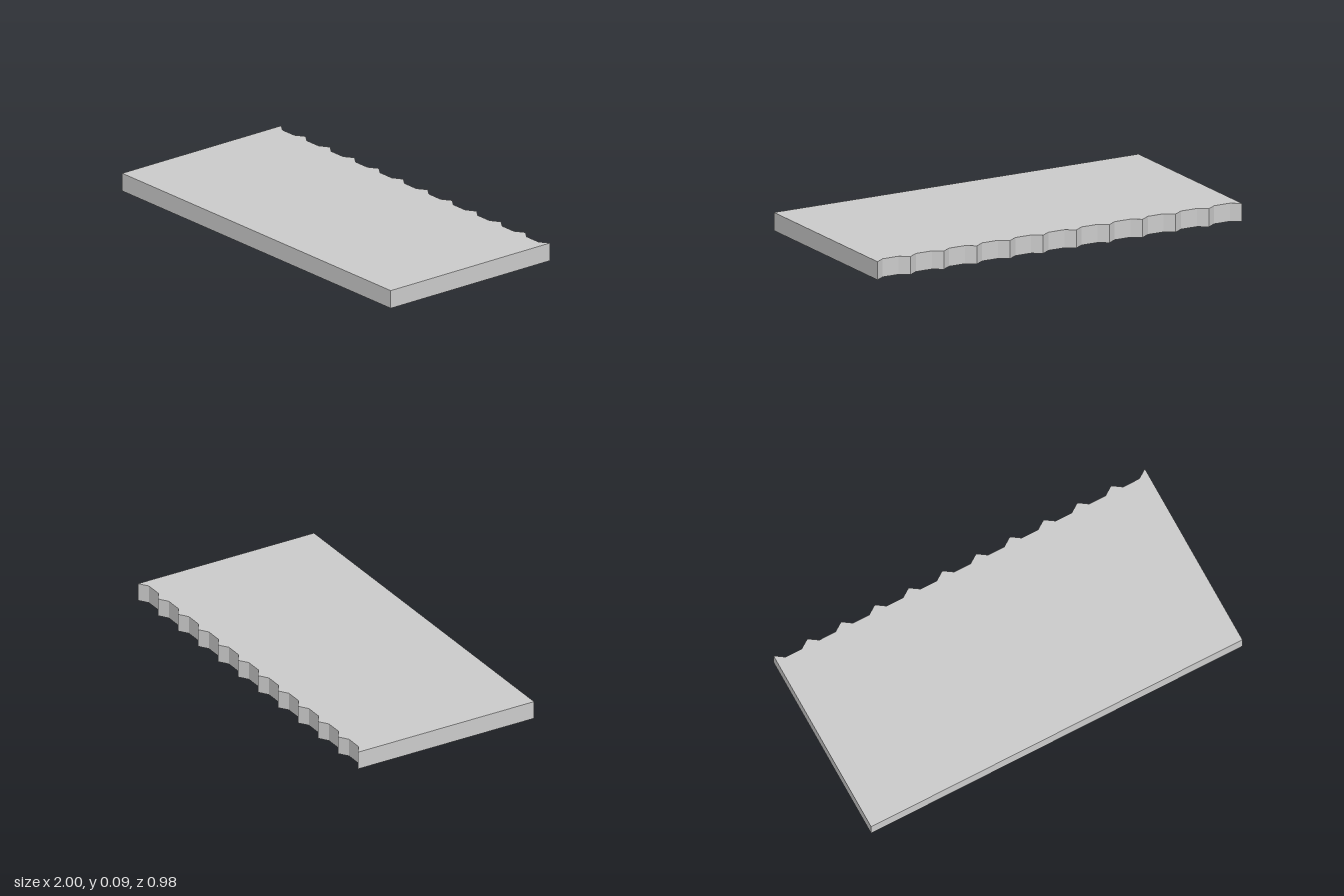
import * as THREE from 'three';

const WIDTH = 2, DEPTH = 0.98, HEIGHT = 0.09;
const SCALLOPS = 11, NOTCH = 0.032;

// Plan outline: straight front and sides, faceted scallops along the back
function slabOutline() {
  const x = WIDTH / 2, back = DEPTH / 2, pitch = WIDTH / SCALLOPS;
  const shape = new THREE.Shape();
  shape.moveTo(-x, -back);
  shape.lineTo(x, -back);
  shape.lineTo(x, back);
  for (let i = 0; i < SCALLOPS; i++) {
    const start = x - i * pitch;
    shape.lineTo(start - pitch * 0.26, back - NOTCH);
    shape.lineTo(start - pitch * 0.74, back - NOTCH);
    shape.lineTo(start - pitch, back);
  }
  shape.closePath();
  return shape;
}

export function createModel() {
  const model = new THREE.Group();
  model.name = 'scallopedSlab';

  // Slab, extruded upward from the ground
  const geometry = new THREE.ExtrudeGeometry(slabOutline(), { depth: HEIGHT, bevelEnabled: false });
  geometry.rotateX(-Math.PI / 2);
  const material = new THREE.MeshStandardMaterial({ color: 0xcccccc, flatShading: true });
  const slab = new THREE.Mesh(geometry, material);
  slab.name = 'slab';
  model.add(slab);

  return model;
}
